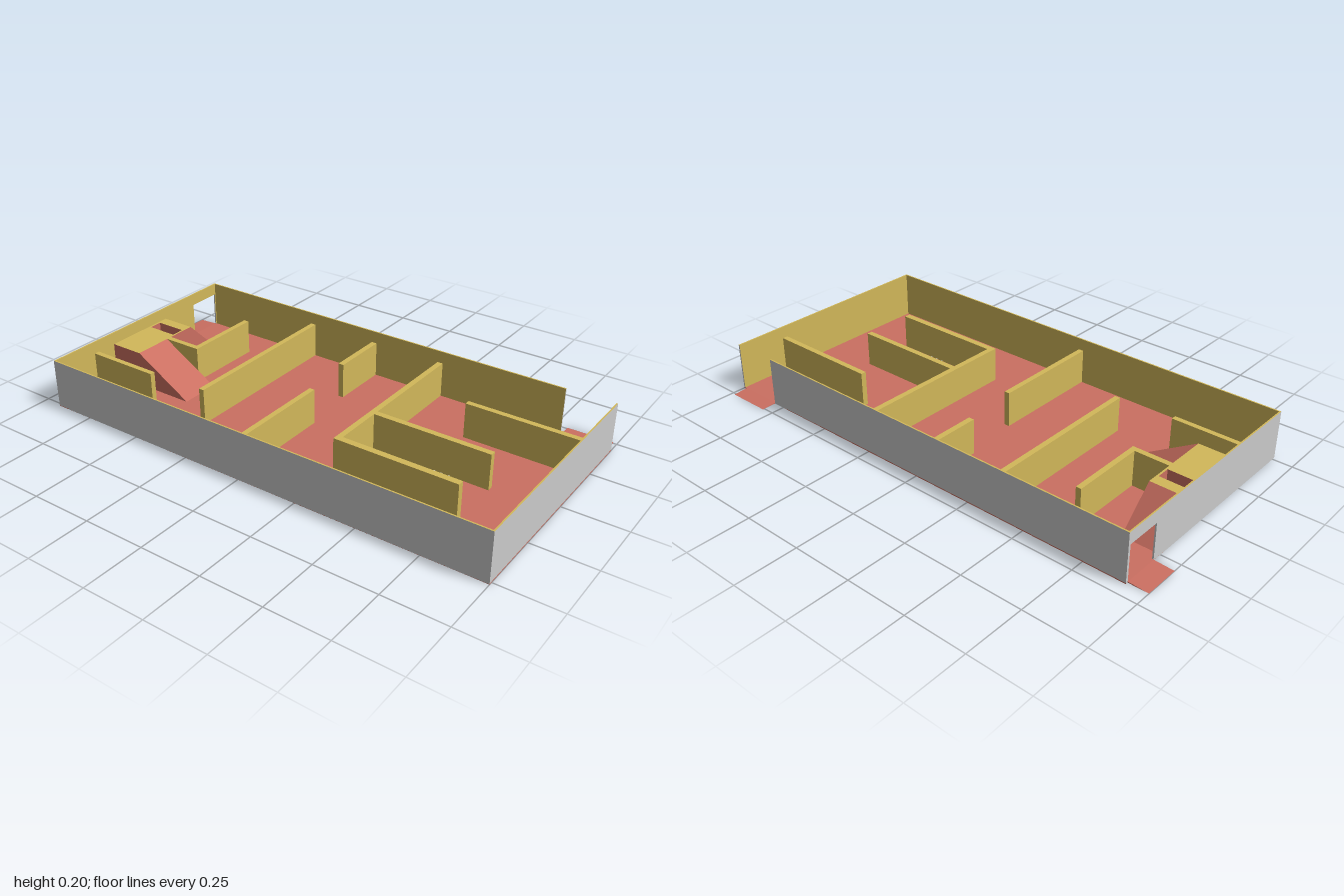
import * as THREE from 'three';

const grey = new THREE.MeshStandardMaterial({ color: 0xcccccc });
const yellow = new THREE.MeshStandardMaterial({ color: 0xd2b85a });
const red = new THREE.MeshStandardMaterial({ color: 0xcb6f61 });

const FLOOR = 0.004, WALL = 0.2, PARTITION = 0.15, T = 0.006;
const X0 = -0.513, X1 = 0.445, Z0 = -0.92, Z1 = 1;

// Box given by its extents on each axis
function block(name, [x0, x1], [y0, y1], [z0, z1], material) {
  const geometry = new THREE.BoxGeometry(x1 - x0, y1 - y0, z1 - z0);
  geometry.translate((x0 + x1) / 2, (y0 + y1) / 2, (z0 + z1) / 2);
  const mesh = new THREE.Mesh(geometry, material);
  mesh.name = name;
  return mesh;
}

// Box whose top edge drops to the base at one end of an axis
function ramp(name, xs, ys, zs, axis, end, material) {
  const mesh = block(name, xs, ys, zs, material);
  const p = mesh.geometry.attributes.position;
  for (let i = 0; i < p.count; i++) {
    const v = axis === 'x' ? p.getX(i) : p.getZ(i);
    if (Math.abs(v - end) < 1e-4) p.setY(i, ys[0]);
  }
  mesh.geometry.computeVertexNormals();
  return mesh;
}

// Grey on every side but the top and the one facing the rooms
function facing(innerSide) {
  return [0, 1, 2, 3, 4, 5].map((side) => (side === innerSide || side === 2 ? yellow : grey));
}

export function createModel() {
  const model = new THREE.Group();
  const redTop = [red, red, red, grey, red, red];

  // Floor slab and the two sloping thresholds
  model.add(
    block('floor', [X0, X1], [0, FLOOR], [Z0, Z1], redTop),
    ramp('sideThreshold', [X1, 0.507], [0, FLOOR], [0.8, 0.985], 'x', 0.507, redTop),
    ramp('backThreshold', [0.29, 0.435], [0, FLOOR], [-1, Z0], 'z', -1, redTop),
  );

  // Outer walls, with a full-height gap at the side and a doorway at the back
  const outer = new THREE.Group();
  outer.name = 'outerWalls';
  const tall = [0, WALL];
  outer.add(
    block('frontWall', [X0, X1], tall, [Z1 - T, Z1], facing(5)),
    block('rightWall', [X0, X0 + T], tall, [Z0, Z1], facing(0)),
    block('leftWall', [X1 - T, X1], tall, [Z0, 0.8], facing(1)),
    block('backWall', [X0, 0.29], tall, [Z0, Z0 + T], facing(4)),
    block('backWallEnd', [0.435, X1], tall, [Z0, Z0 + T], facing(4)),
    block('backLintel', [0.29, 0.435], [0.15, WALL], [Z0, Z0 + T], facing(4)),
  );
  model.add(outer);

  // Lower partitions between the rooms: x range, z range
  const partitions = new THREE.Group();
  partitions.name = 'partitions';
  const plan = [
    [[-0.307, -0.285], [Z0 + T, -0.605]],
    [[-0.035, -0.012], [-0.77, -0.605]],
    [[-0.035, 0.297], [-0.627, -0.605]],
    [[-0.286, X1 - T], [-0.372, -0.35]],
    [[X0 + T, -0.036], [-0.032, -0.01]],
    [[0.197, X1 - T], [-0.06, -0.037]],
    [[-0.286, X1 - T], [0.254, 0.277]],
    [[-0.286, -0.26], [0.277, 0.757]],
    [[-0.06, -0.036], [0.277, 0.757]],
    [[0.205, 0.228], [0.51, Z1 - T]],
  ];
  for (const [xs, zs] of plan) {
    partitions.add(block('partition', xs, [FLOOR, PARTITION], zs, yellow));
  }
  model.add(partitions);

  // Raised landing with a shaft through it
  const outline = new THREE.Shape();
  outline.moveTo(-0.2, Z0 + T).lineTo(0.11, Z0 + T).lineTo(0.11, -0.77).lineTo(-0.2, -0.77).closePath();
  const shaft = new THREE.Path();
  shaft.moveTo(0.01, -0.905).lineTo(0.01, -0.778).lineTo(0.065, -0.778).lineTo(0.065, -0.905).closePath();
  outline.holes.push(shaft);
  const deck = new THREE.ExtrudeGeometry(outline, { depth: PARTITION - FLOOR, bevelEnabled: false });
  deck.rotateX(Math.PI / 2).translate(0, PARTITION, 0);
  const landing = new THREE.Mesh(deck, [yellow, red]);
  landing.name = 'landing';
  model.add(landing);

  // Slopes leading down from the landing
  const rise = [FLOOR, PARTITION];
  model.add(
    ramp('frontSlope', [-0.2, -0.036], rise, [-0.77, -0.525], 'z', -0.525, red),
    ramp('sideSlope', [0.11, 0.255], rise, [Z0 + T, -0.77], 'x', 0.255, red),
  );

  // Shallow strips across the narrow room
  for (const z of [0.54, 0.57, 0.6]) {
    model.add(block('floorStrip', [-0.26, -0.06], [FLOOR, FLOOR + 0.002], [z - 0.004, z + 0.004], grey));
  }
  return model;
}
